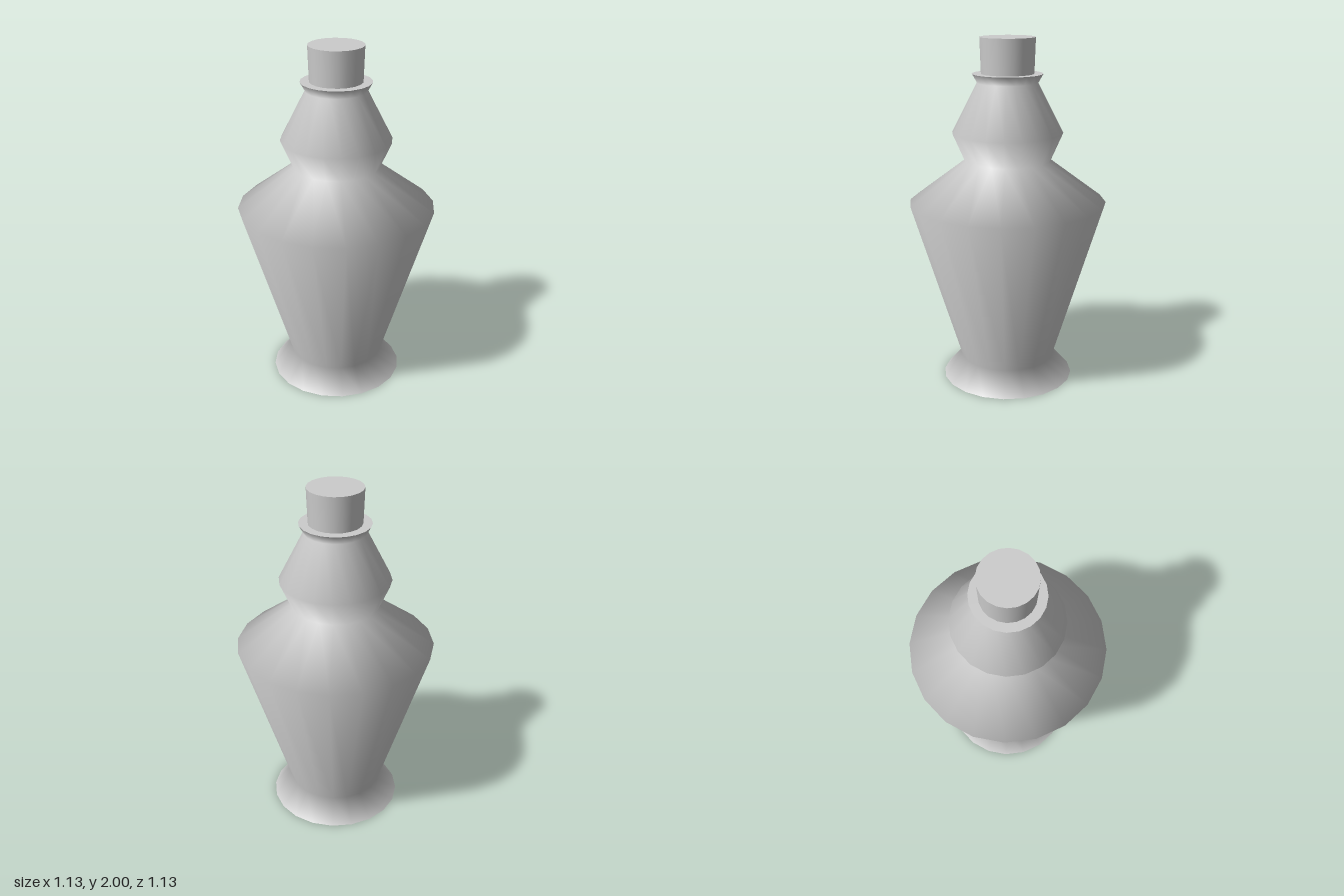
import * as THREE from 'three';

const SIDES = 20;

export function createModel() {
  const group = new THREE.Group();
  const material = new THREE.MeshStandardMaterial({ color: 0xcccccc });

  function add(name, geometry, y = 0) {
    const mesh = new THREE.Mesh(geometry, material);
    mesh.name = name;
    mesh.position.y = y;
    group.add(mesh);
    return mesh;
  }

  // Smooth turned body: flared foot, tapering belly, shoulder, neck bulge, lip
  const profile = [
    [0.383, 0], [0.275, 0.125], [0.565, 1.07], [0.245, 1.31],
    [0.315, 1.47], [0.172, 1.75], [0.2, 1.8],
  ].map(([r, y]) => new THREE.Vector2(r, y));
  add('body', new THREE.LatheGeometry(profile, SIDES));

  // Flat discs closing the body
  add('footBase', new THREE.CircleGeometry(0.383, SIDES)).rotation.x = Math.PI / 2;
  add('lipTop', new THREE.CircleGeometry(0.2, SIDES), 1.8).rotation.x = -Math.PI / 2;

  // Slightly flared stopper
  add('stopper', new THREE.CylinderGeometry(0.156, 0.149, 0.2, SIDES), 1.9);

  return group;
}
